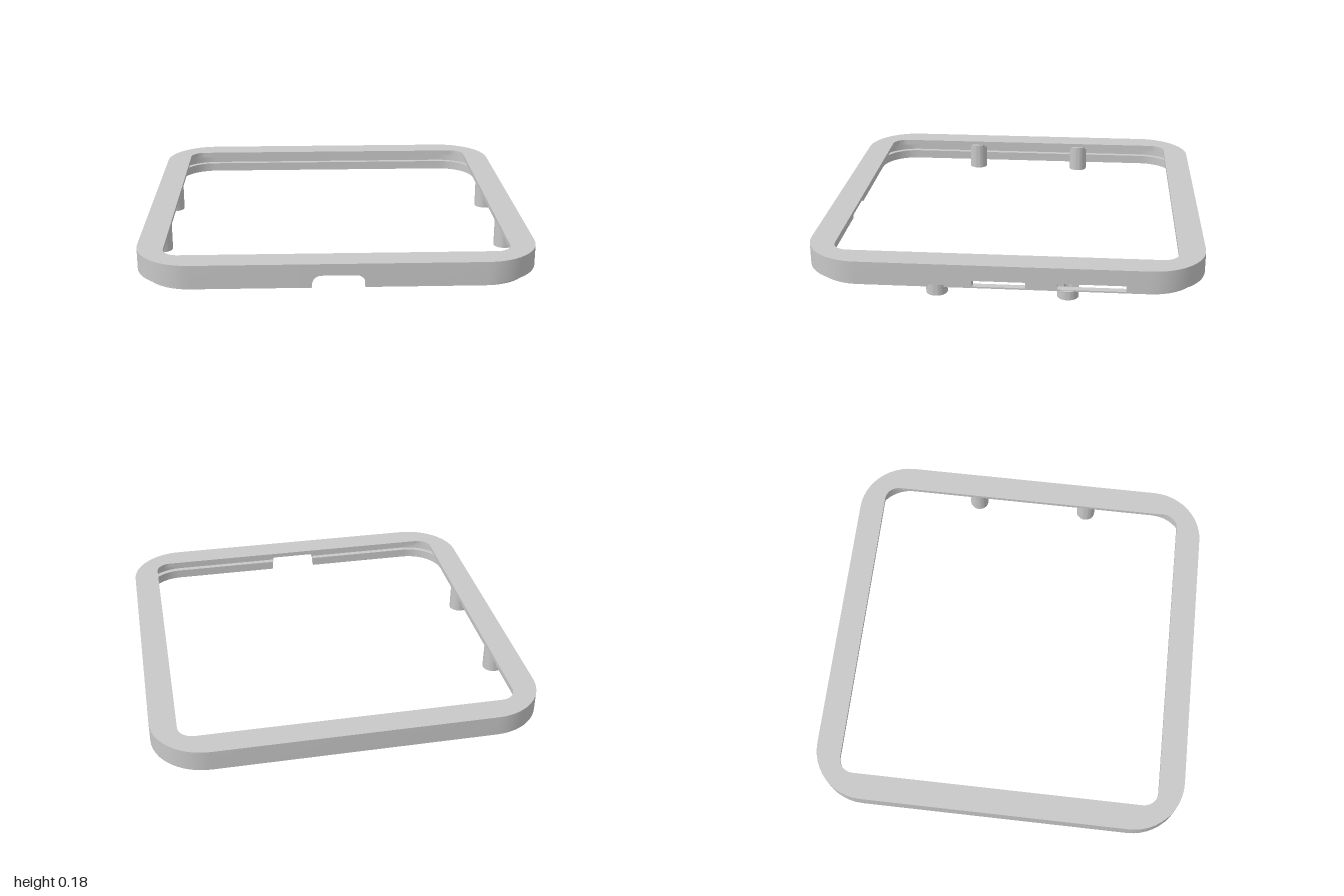
import * as THREE from 'three';
import { toCreasedNormals } from 'three/addons/utils/BufferGeometryUtils.js';

const HALF_X = 1, HALF_Z = 0.996;
const WALL = 0.045; // wall thickness above the lip

// Wall section: [inset from outside, height, corner radius]
const SECTION = [
  [0, 0.18, 0.28], [0, 0.071, 0.28],
  [0.04, 0.071, 0.24], [0.04, 0.04, 0.24],
  [0.075, 0.04, 0.2], [0.075, 0.09, 0.2],
  [WALL, 0.09, 0.235], [WALL, 0.14, 0.235],
  [0.11, 0.14, 0.11], [0.11, 0.16, 0.11],
  [0.136, 0.16, 0.08], [0.136, 0.18, 0.08],
];

// Side slots as [from z, to z, top height]
const SLOTS = [[-0.605, -0.27, 0.098], [-0.115, 0.145, 0.098]];

// Stations around the frame; each gives a point for an inset and a radius,
// plus the height below which the wall is cut away
function buildStations() {
  const list = [];
  const corner = (sx, sz, start) => {
    for (let i = 0; i <= 12; i++) {
      const a = start + (i / 12) * Math.PI / 2;
      list.push({
        cut: 0,
        at: (d, r) => [sx * (HALF_X - d - r) + r * Math.cos(a), sz * (HALF_Z - d - r) + r * Math.sin(a)],
      });
    }
  };
  const front = (x, cut) => list.push({ cut, at: (d) => [x, HALF_Z - d] });
  const right = (z, cut) => list.push({ cut, at: (d) => [HALF_X - d, z] });

  corner(1, 1, 0);
  // Front notch with rounded upper corners
  const w = 0.13, top = 0.12, r = 0.045;
  front(w, 0);
  for (let i = 0; i <= 6; i++) {
    const a = (i / 6) * Math.PI / 2;
    front(w - r + r * Math.cos(a), top - r + r * Math.sin(a));
  }
  for (let i = 6; i >= 0; i--) {
    const a = (i / 6) * Math.PI / 2;
    front(-(w - r + r * Math.cos(a)), top - r + r * Math.sin(a));
  }
  front(-w, 0);
  corner(-1, 1, Math.PI / 2);
  corner(-1, -1, Math.PI);
  corner(1, -1, Math.PI * 1.5);
  for (const [a, b, h] of SLOTS) {
    right(a, 0); right(a, h); right(b, h); right(b, 0);
  }
  return list;
}

// Sweeps the wall section through all stations; the lip vanishes where it is cut
function frameGeometry() {
  const rings = buildStations().map((s) => SECTION.map(([d, y, r]) => {
    const [x, z] = s.at(y < s.cut ? Math.min(d, WALL) : d, r);
    return new THREE.Vector3(x, Math.max(y, s.cut), z);
  }));
  const pos = [];
  const tri = (a, b, c) => {
    const n = b.clone().sub(a).cross(c.clone().sub(a));
    if (n.length() > 1e-9) for (const p of [a, b, c]) pos.push(p.x, p.y, p.z);
  };
  rings.forEach((a, i) => {
    const b = rings[(i + 1) % rings.length];
    for (let j = 0; j < a.length; j++) {
      const k = (j + 1) % a.length;
      tri(a[j], b[j], b[k]);
      tri(a[j], b[k], a[k]);
    }
  });
  const g = new THREE.BufferGeometry();
  g.setAttribute('position', new THREE.Float32BufferAttribute(pos, 3));
  return toCreasedNormals(g, 0.5);
}

// Hollow round post between two heights; half keeps only its -x side
function postGeometry(y0, y1, half = false) {
  const outer = 0.053, inner = 0.019;
  const shape = new THREE.Shape();
  if (half) {
    shape.absarc(0, 0, outer, Math.PI / 2, Math.PI * 1.5, false);
    shape.absarc(0, 0, inner, Math.PI * 1.5, Math.PI / 2, true);
  } else {
    shape.absarc(0, 0, outer, 0, Math.PI * 2, false);
    shape.holes.push(new THREE.Path().absarc(0, 0, inner, 0, Math.PI * 2, true));
  }
  const g = new THREE.ExtrudeGeometry(shape, { depth: y1 - y0, bevelEnabled: false, curveSegments: 24 });
  g.rotateX(-Math.PI / 2).translate(0, y0, 0);
  return toCreasedNormals(g, 0.5);
}

export function createModel() {
  const model = new THREE.Group();
  model.name = 'bezelFrame';
  const grey = new THREE.MeshStandardMaterial({ color: 0xc8c8c8 });
  grey.name = 'lightGrey';

  const add = (name, geometry, x = 0, y = 0, z = 0) => {
    const mesh = new THREE.Mesh(geometry, grey);
    mesh.name = name;
    mesh.position.set(x, y, z);
    model.add(mesh);
  };

  add('frame', frameGeometry());

  // Thin strips closing the side slots at the bottom
  for (const [a, b] of SLOTS) {
    add('slotSill', new THREE.BoxGeometry(0.035, 0.008, b - a), 0.9425, 0.044, (a + b) / 2);
  }

  // Four screw posts; the one behind a slot is cut open along the slot
  const postX = 0.924, frontZ = 0.325, backZ = -0.32, top = 0.15;
  const post = postGeometry(0, top);
  add('leftFrontPost', post, postX, 0, frontZ);
  add('rightFrontPost', post, -postX, 0, frontZ);
  add('rightBackPost', post, -postX, 0, backZ);
  add('leftBackPostFoot', postGeometry(0, 0.045), postX, 0, backZ);
  add('leftBackPostCutaway', postGeometry(0.045, 0.098, true), postX, 0, backZ);
  add('leftBackPostTop', postGeometry(0.098, top), postX, 0, backZ);

  return model;
}
